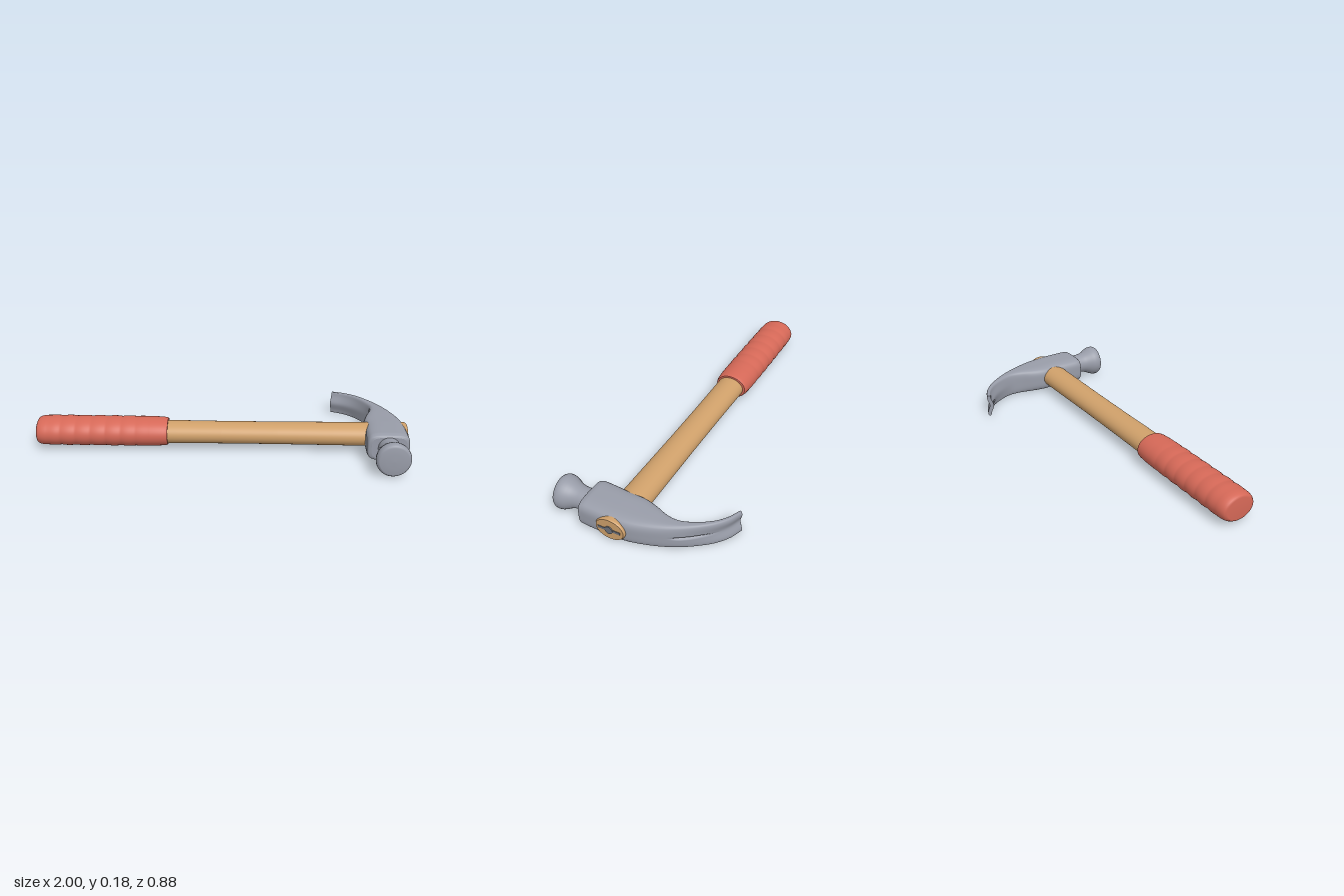
import * as THREE from 'three';

const steel = new THREE.MeshStandardMaterial({ color: 0x989ca8 });
steel.name = 'steel';
const wood = new THREE.MeshStandardMaterial({ color: 0xcfa06a });
wood.name = 'wood';
const rubber = new THREE.MeshStandardMaterial({ color: 0xd56857 });
rubber.name = 'red rubber';
const darkSteel = new THREE.MeshStandardMaterial({ color: 0x6e727a });
darkSteel.name = 'dark steel';

const HANDLE_Y = 0.084, HANDLE_Z = 0.082;

function part(name, geometry, material, x = 0, y = 0, z = 0) {
  const mesh = new THREE.Mesh(geometry, material);
  mesh.name = name;
  mesh.position.set(x, y, z);
  return mesh;
}

// Oval bar turned along x; profile points are [radius factor, x]
function ovalBar(profile, ry, rz) {
  const g = new THREE.LatheGeometry(profile.map(([r, x]) => new THREE.Vector2(r, x)), 48);
  g.rotateZ(-Math.PI / 2);
  g.scale(1, ry, rz);
  return g;
}

// Ring of a rounded square, with points crowded near the middle of each side
function roundedRing() {
  const half = [0, 0.03, 0.06, 0.12, 0.2, 0.35, 0.5, 0.65, 0.77].map(v => Math.atan2(v, Math.pow(1 - v ** 4, 0.25)));
  const quarter = [...half, Math.PI / 4, ...half.slice(1).reverse().map(a => Math.PI / 2 - a)];
  const ring = [];
  for (let q = 0; q < 4; q++) {
    for (const a of quarter) {
      const c = Math.cos(a + q * Math.PI / 2), s = Math.sin(a + q * Math.PI / 2);
      const k = Math.pow(c ** 4 + s ** 4, -0.25);
      ring.push([c * k, s * k]);
    }
  }
  return ring;
}

// Head body and claw: sections swept between an inner and an outer edge
function headGeometry() {
  // inner x, inner z, outer x, outer z, bottom, top
  const stations = [
    [0.785, 0.271, 0.968, 0.271, 0.026, 0.146],
    [0.769, 0.264, 0.982, 0.264, 0.016, 0.156],
    [0.765, 0.24, 0.985, 0.24, 0.011, 0.162],
    [0.768, 0.16, 0.987, 0.16, 0.008, 0.160],
    [0.775, 0.08, 0.987, 0.08, 0.005, 0.157],
    [0.775, 0.01, 0.980, 0.0, 0.003, 0.153],
    [0.797, -0.07, 0.955, -0.09, 0.001, 0.149],
    [0.824, -0.135, 0.918, -0.18, 0, 0.144],
    [0.833, -0.195, 0.878, -0.25, 0, 0.140],
    [0.813, -0.26, 0.835, -0.31, 0, 0.137],
    [0.765, -0.34, 0.782, -0.37, 0, 0.134],
    [0.71, -0.39, 0.722, -0.415, 0, 0.131],
    [0.645, -0.422, 0.655, -0.443, 0, 0.129],
  ];
  const curve = (a, b) => new THREE.CatmullRomCurve3(stations.map(s => new THREE.Vector3(s[a], 0, s[b])));
  const innerCurve = curve(0, 1), outerCurve = curve(2, 3);
  const ring = roundedRing(), n = ring.length, rows = (stations.length - 1) * 5;
  const pos = [], index = [];
  for (let i = 0; i <= rows; i++) {
    const t = i / rows, f = t * (stations.length - 1);
    const k = Math.min(Math.floor(f), stations.length - 2);
    const lerp = c => THREE.MathUtils.lerp(stations[k][c], stations[k + 1][c], f - k);
    const a = innerCurve.getPoint(t), b = outerCurve.getPoint(t);
    const dir = b.clone().sub(a), len = dir.length();
    dir.normalize();
    const y0 = lerp(4), y1 = lerp(5);
    // Valley that folds the claw, and the nail slit at its root
    const fold = 0.015 * THREE.MathUtils.smoothstep(f, 7, 12);
    const slit = 0.014 * THREE.MathUtils.smoothstep(f, 7.1, 7.8) * (1 - THREE.MathUtils.smoothstep(f, 8, 10.6));
    for (const [u, v] of ring) {
      let d = (u + 1) / 2 * len - fold * Math.cos(Math.min(1, Math.abs(v) / 0.8) * Math.PI / 2) ** 2;
      if (u > 0) d -= slit * Math.max(0, 1 - Math.abs(v) / 0.12);
      pos.push(a.x + dir.x * d, (y0 + y1) / 2 + v * (y1 - y0) / 2, a.z + dir.z * d);
    }
  }
  for (let i = 0; i < rows; i++) {
    for (let j = 0; j < n; j++) {
      const p = i * n + j, q = i * n + (j + 1) % n;
      index.push(p, p + n, q, q, p + n, q + n);
    }
  }
  // End caps with their own vertices, so their edges stay sharp
  for (const [row, flip] of [[0, false], [rows, true]]) {
    const base = pos.length / 3, mid = [0, 0, 0];
    for (let j = 0; j < n; j++) {
      for (let c = 0; c < 3; c++) {
        const value = pos[(row * n + j) * 3 + c];
        pos.push(value);
        mid[c] += value / n;
      }
    }
    pos.push(...mid);
    for (let j = 0; j < n; j++) {
      const p = base + j, q = base + (j + 1) % n;
      index.push(base + n, flip ? q : p, flip ? p : q);
    }
  }
  const g = new THREE.BufferGeometry();
  g.setAttribute('position', new THREE.Float32BufferAttribute(pos, 3));
  g.setIndex(index);
  g.computeVertexNormals();
  return g;
}

export function createModel() {
  const model = new THREE.Group();
  model.name = 'claw hammer';

  // Wooden handle, slightly waisted, running through the head
  model.add(part('handle', ovalBar([
    [0, -0.6], [0.98, -0.6], [0.98, -0.28], [0.95, 0], [0.95, 0.3], [0.98, 0.6], [1, 0.78],
    [1.02, 0.9], [1.02, 0.988], [1.02, 0.988], [0.96, 0.995], [0.96, 0.995], [0, 0.995],
  ], 0.061, 0.079), wood, 0, HANDLE_Y, HANDLE_Z));

  // Rubber grip with soft ribs and rounded ends
  const grip = [[0, -1], [0.72, -1], [0.84, -0.995], [0.92, -0.983], [0.96, -0.965]];
  for (let i = 0; i <= 96; i++) {
    const t = i / 96, x = -0.95 + t * 0.57;
    const fade = Math.min(1, (1 - t) * 4, t * 10);
    grip.push([0.97 + fade * 0.04 * (Math.abs(Math.sin(t * 7 * Math.PI)) - 0.4), x]);
  }
  grip.push([0.96, -0.35], [0.93, -0.31], [0.9, -0.295], [0.86, -0.29], [0.86, -0.29], [0.7, -0.29]);
  model.add(part('grip', ovalBar(grip, 0.079, 0.103), rubber, 0, HANDLE_Y + 0.002, HANDLE_Z - 0.002));

  // Steel head
  const head = new THREE.Group();
  head.name = 'head';
  head.add(part('bodyAndClaw', headGeometry(), steel));
  const poll = [
    [0.056, 0.25], [0.057, 0.28], [0.058, 0.31], [0.062, 0.335], [0.07, 0.355], [0.08, 0.373],
    [0.087, 0.39], [0.09, 0.408], [0.088, 0.422], [0.082, 0.432], [0.074, 0.436], [0.04, 0.439], [0, 0.44],
  ];
  const pollGeometry = new THREE.LatheGeometry(poll.map(([r, z]) => new THREE.Vector2(r, z)), 48);
  pollGeometry.rotateX(Math.PI / 2);
  head.add(part('strikingFace', pollGeometry, steel, 0.875, 0.09, 0));
  model.add(head);

  // Wedge and pin set in the end of the handle
  const pin = new THREE.CylinderGeometry(0.022, 0.022, 0.008, 24);
  pin.rotateZ(Math.PI / 2);
  model.add(part('wedgePin', pin, darkSteel, 0.996, HANDLE_Y - 0.002, HANDLE_Z + 0.003));
  model.add(part('wedge', new THREE.BoxGeometry(0.006, 0.014, 0.122), darkSteel, 0.995, HANDLE_Y - 0.002, HANDLE_Z + 0.003));

  return model;
}
